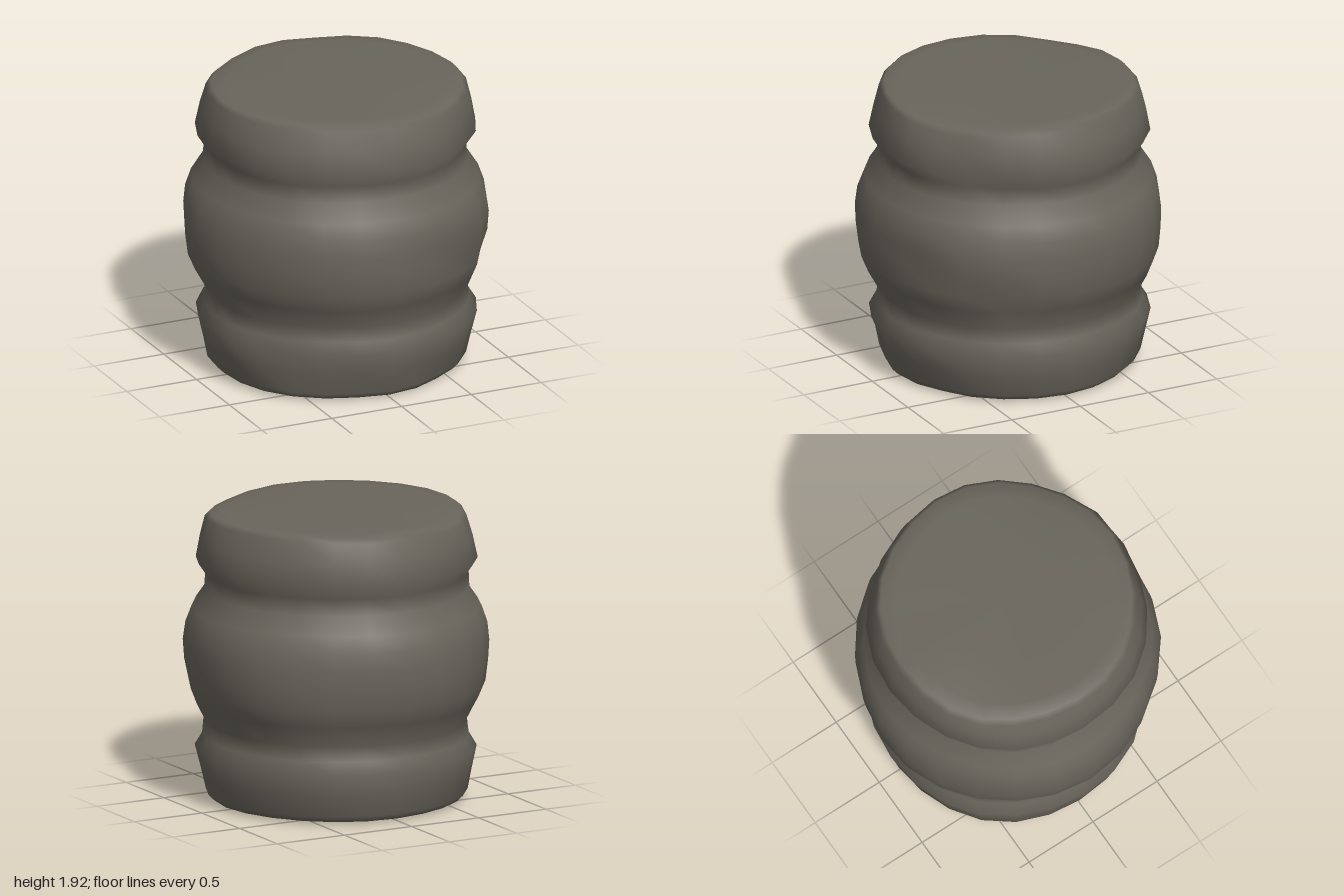
import * as THREE from 'three';
import { mergeVertices } from 'three/addons/utils/BufferGeometryUtils.js';

// Outline from bottom centre to top centre: [radius, height]
const PROFILE = [
  [0, 0.005], [0.4, 0.005], [0.72, 0.007], [0.81, 0.02], [0.85, 0.06], [0.88, 0.2], [0.915, 0.35],
  [0.865, 0.43], [0.855, 0.53], [0.93, 0.67], [0.975, 0.78], [0.99, 0.92], [0.995, 1.05],
  [0.98, 1.17], [0.94, 1.28], [0.86, 1.4], [0.855, 1.51], [0.915, 1.6], [0.885, 1.75],
  [0.85, 1.89], [0.82, 1.92], [0.72, 1.925], [0.4, 1.925], [0, 1.925],
];

// Dents pressed into the wall: centre x, y, z, reach, depth
const DENTS = [
  [0.4, 0.92, 0.9, 0.14, 0.06], [0.8, 0.77, 0.55, 0.12, 0.06],
  [0.58, 1.66, 0.7, 0.12, 0.05], [-0.12, 1.78, 0.86, 0.14, 0.04],
  [-0.68, 0.25, 0.58, 0.12, 0.04], [-0.28, 0.14, 0.83, 0.12, 0.04],
  [0.28, 0.14, 0.83, 0.12, 0.04], [0.45, 0.08, 0.72, 0.14, 0.03],
];

// Worn edges of the lid: direction angle, width of the chip, drop
const CHIPS = [[0.6, 0.5, 0.035], [-2.45, 0.35, 0.035], [2.85, 0.25, 0.015]];

function stoneBody() {
  const points = PROFILE.map(([r, y]) => new THREE.Vector2(r, y));
  let g = new THREE.LatheGeometry(points, 24);
  g.deleteAttribute('uv');
  g.deleteAttribute('normal');
  g = mergeVertices(g, 1e-4);
  const pos = g.attributes.position;
  const v = new THREE.Vector3();
  for (let i = 0; i < pos.count; i++) {
    v.fromBufferAttribute(pos, i);
    const angle = Math.atan2(v.x, v.z);
    const radius = Math.hypot(v.x, v.z);
    if (radius > 0.01) {
      // Slight unevenness, then the dents
      let push = 0.006 * Math.sin(angle * 5 + v.y * 4);
      for (const [x, y, z, reach, depth] of DENTS) {
        const d2 = (v.x - x) ** 2 + (v.y - y) ** 2 + (v.z - z) ** 2;
        push -= depth * Math.exp(-d2 / (reach * reach));
      }
      const scale = 1 + push / Math.max(radius, 0.7);
      v.x *= scale;
      v.z *= scale;
    }
    // Lid edge chips
    if (v.y > 1.88 && radius > 0.6) {
      for (const [dir, width, drop] of CHIPS) {
        const turn = Math.atan2(Math.sin(angle - dir), Math.cos(angle - dir));
        v.y -= drop * Math.exp(-((turn / width) ** 2)) * (radius > 0.75 ? 1 : 0.4);
      }
    }
    pos.setXYZ(i, v.x, v.y, v.z);
  }
  g.computeVertexNormals();
  return g;
}

export function createModel() {
  const group = new THREE.Group();
  group.name = 'wornStoneDrum';
  const stone = new THREE.MeshStandardMaterial({ color: 0x69655c });
  stone.name = 'dark grey stone';
  const body = new THREE.Mesh(stoneBody(), stone);
  body.name = 'drumBody';
  group.add(body);
  return group;
}
